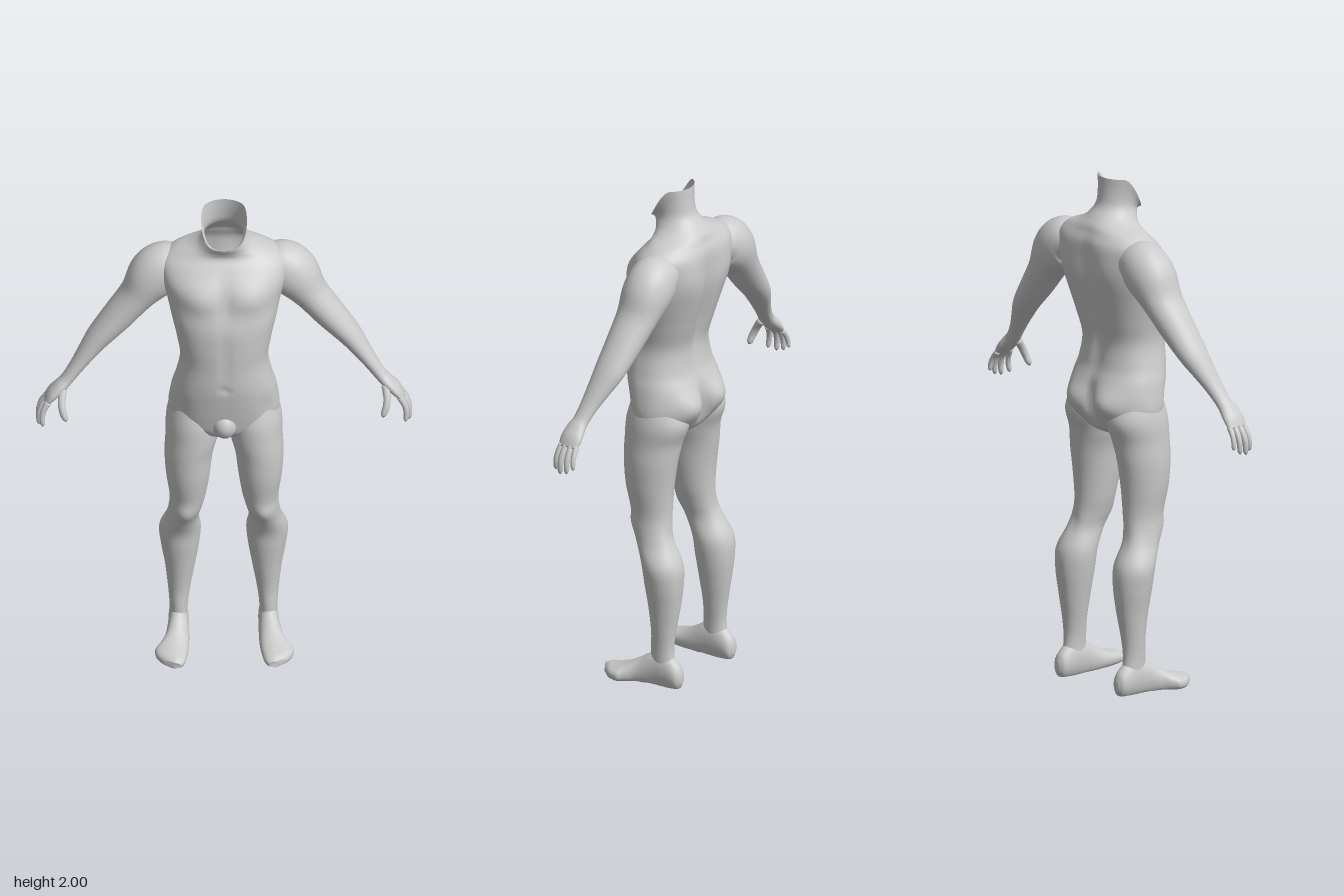
import * as THREE from 'three';

const skin = new THREE.MeshStandardMaterial({ color: 0xcccccc, side: THREE.DoubleSide });
const V = (x, y, z) => new THREE.Vector3(x, y, z);
const X = V(1, 0, 0), Y = V(0, 1, 0), Z = V(0, 0, 1);

// Smooth skin through rings [x, y, z, halfWidth, halfDepth, squareness].
// dir fixes the ring normal (otherwise it follows the path); up is the depth axis.
function loft(rings, { dir, up = Z, seg = 40, steps = 6, capStart = true, capEnd = true, warp } = {}) {
  const path = new THREE.CatmullRomCurve3(rings.map(r => V(r[0], r[1], r[2])), false, 'catmullrom', 0.5);
  const size = new THREE.CatmullRomCurve3(rings.map(r => V(r[3], r[4], r[5] ?? 2)), false, 'catmullrom', 0.5);
  const rows = (rings.length - 1) * steps, pos = [], idx = [];
  const push = p => { pos.push(p.x, p.y, p.z); return pos.length / 3 - 1; };
  for (let i = 0; i <= rows; i++) {
    const c = path.getPoint(i / rows), s = size.getPoint(i / rows);
    const t = dir ? dir.clone() : path.getTangent(i / rows);
    const v = up.clone().addScaledVector(t, -up.dot(t)).normalize();
    const u = v.clone().cross(t);
    for (let j = 0; j < seg; j++) {
      const a = (j / seg) * Math.PI * 2, co = Math.cos(a), si = Math.sin(a), e = 2 / s.z;
      const p = c.clone()
        .addScaledVector(u, Math.sign(co) * Math.abs(co) ** e * s.x)
        .addScaledVector(v, Math.sign(si) * Math.abs(si) ** e * s.y);
      if (warp) warp(p, si);
      push(p);
    }
  }
  for (let i = 0; i < rows; i++) for (let j = 0; j < seg; j++) {
    const a = i * seg + j, b = i * seg + (j + 1) % seg, c = a + seg, d = b + seg;
    idx.push(a, b, c, b, d, c);
  }
  const cap = (row, flip) => {
    const m = V(0, 0, 0);
    for (let j = 0; j < seg; j++) m.add(V(...pos.slice((row * seg + j) * 3, (row * seg + j) * 3 + 3)));
    const k = push(m.divideScalar(seg));
    for (let j = 0; j < seg; j++) {
      const a = row * seg + j, b = row * seg + (j + 1) % seg;
      idx.push(k, flip ? b : a, flip ? a : b);
    }
  };
  if (capStart) cap(0, true);
  if (capEnd) cap(rows, false);
  const g = new THREE.BufferGeometry();
  g.setAttribute('position', new THREE.Float32BufferAttribute(pos, 3));
  g.setIndex(idx);
  g.computeVertexNormals();
  return g;
}

// Muscle relief: [x, y, side, spreadX, spreadY, amount], mirrored in x
const relief = bumps => (p, si) => {
  for (const [x, y, side, sx, sy, amount] of bumps) {
    const w = Math.max(0, si * side);
    p.z += side * amount * Math.sqrt(w) *
      Math.exp(-(((Math.abs(p.x) - x) / sx) ** 2) - ((p.y - y) / sy) ** 2);
  }
};

function mirrored(g) {
  const m = g.clone().scale(-1, 1, 1), ix = m.index.array;
  for (let i = 0; i < ix.length; i += 3) [ix[i], ix[i + 1]] = [ix[i + 1], ix[i]];
  m.computeVertexNormals();
  return m;
}

export function createModel() {
  const model = new THREE.Group();
  model.name = 'headlessFigure';
  const add = (name, g, parent = model) => {
    const m = new THREE.Mesh(g, skin);
    m.name = name;
    parent.add(m);
  };
  const addPair = (name, g) => {
    add('left' + name, g);
    add('right' + name, mirrored(g));
  };

  // Torso with neck; [y, halfWidth, front z, back z, squareness]
  const torsoRings = [
    [0.99, 0.05, 0.05, -0.06, 2], [1.005, 0.12, 0.08, -0.09, 2], [1.04, 0.185, 0.112, -0.12, 2.1],
    [1.1, 0.211, 0.128, -0.135, 2.2], [1.2, 0.2, 0.147, -0.132, 2.3], [1.27, 0.182, 0.157, -0.115, 2.3],
    [1.36, 0.167, 0.16, -0.108, 2.3], [1.45, 0.18, 0.162, -0.13, 2.4], [1.54, 0.2, 0.158, -0.155, 2.4],
    [1.62, 0.218, 0.133, -0.17, 2.4], [1.7, 0.238, 0.11, -0.172, 2.4], [1.76, 0.235, 0.075, -0.17, 2.3],
    [1.8, 0.19, 0.047, -0.155, 2.1], [1.825, 0.132, 0.05, -0.145, 2], [1.85, 0.095, 0.062, -0.125, 2],
    [1.89, 0.075, 0.072, -0.092, 2], [1.94, 0.076, 0.08, -0.08, 2], [2.0, 0.087, 0.085, -0.074, 2],
  ].map(([y, w, f, b, n]) => [0, y, (f + b) / 2, w, (f - b) / 2, n]);
  const torsoRelief = relief([
    [0.1, 1.665, 1, 0.085, 0.065, 0.024],   // chest
    [0, 1.67, 1, 0.02, 0.08, -0.008],       // breastbone
    [0, 1.42, 1, 0.015, 0.14, -0.006],      // belly midline
    [0, 1.27, 1, 0.014, 0.014, -0.008],     // navel
    [0.17, 1.15, 1, 0.03, 0.06, -0.012],    // groin crease
    [0.095, 1.13, -1, 0.08, 0.065, 0.045],  // buttocks
    [0, 1.11, -1, 0.02, 0.07, -0.03],       // cleft
    [0, 1.5, -1, 0.03, 0.2, -0.024],        // spine
    [0.12, 1.67, -1, 0.07, 0.09, 0.013],    // shoulder blades
  ]);
  add('torso', loft(torsoRings, {
    dir: Y, seg: 72, capEnd: false,
    warp: (p, si) => {
      torsoRelief(p, si);
      // slanted neck opening, lower at the throat
      if (p.y > 1.86) p.y -= (p.y - 1.86) / 0.14 * 0.13 * THREE.MathUtils.smoothstep(p.z, -0.04, 0.08);
    },
  }));
  add('groin', new THREE.SphereGeometry(1, 28, 20).scale(0.05, 0.06, 0.06).translate(0, 1.08, 0.092));

  // Legs, hip to ankle
  addPair('Leg', loft([
    [0.112, 1.17, -0.005, 0.08, 0.095], [0.115, 1.07, -0.01, 0.103, 0.128], [0.122, 0.98, 0.005, 0.1, 0.117],
    [0.134, 0.9, 0.01, 0.092, 0.109], [0.137, 0.8, 0.012, 0.083, 0.098], [0.138, 0.7, 0.004, 0.069, 0.085],
    [0.146, 0.64, -0.004, 0.063, 0.083], [0.157, 0.58, -0.027, 0.062, 0.079], [0.165, 0.5, -0.064, 0.079, 0.08],
    [0.165, 0.42, -0.073, 0.073, 0.077], [0.165, 0.32, -0.075, 0.057, 0.064], [0.168, 0.22, -0.073, 0.043, 0.05],
    [0.17, 0.14, -0.07, 0.035, 0.048], [0.17, 0.05, -0.077, 0.034, 0.055],
  ], {
    dir: V(0, -1, 0),
    warp: relief([
      [0.148, 0.635, 1, 0.035, 0.04, 0.009],  // kneecap
      [0.15, 0.6, -1, 0.025, 0.05, -0.008],   // knee hollow
      [0.165, 0.38, -1, 0.012, 0.1, -0.004],  // calf split
    ]),
  }));

  // Feet, heel to toe, flat underneath with slanted toes
  addPair('Foot', loft([
    [0.17, 0.04, -0.16, 0.012, 0.02], [0.17, 0.045, -0.142, 0.032, 0.05], [0.17, 0.06, -0.09, 0.038, 0.075],
    [0.172, 0.055, -0.035, 0.04, 0.073], [0.178, 0.037, 0.02, 0.046, 0.057], [0.19, 0.026, 0.07, 0.055, 0.041, 2.2],
    [0.203, 0.02, 0.12, 0.06, 0.031, 2.4], [0.205, 0.018, 0.16, 0.053, 0.024, 2.4], [0.2, 0.018, 0.182, 0.032, 0.013],
  ], {
    dir: Z, up: Y,
    warp: p => {
      p.y = Math.max(0, p.y);
      if (p.z > 0.03) p.z -= Math.max(0, p.x - 0.19) * 0.6 * Math.min(1, (p.z - 0.03) / 0.1);
    },
  }));

  // Arms, shoulder to knuckles
  addPair('Arm', loft([
    [0.16, 1.715, -0.07, 0.07, 0.075], [0.22, 1.7, -0.07, 0.098, 0.092], [0.272, 1.655, -0.068, 0.097, 0.095],
    [0.33, 1.575, -0.062, 0.068, 0.083], [0.398, 1.49, -0.052, 0.059, 0.073], [0.47, 1.405, -0.04, 0.047, 0.063],
    [0.515, 1.345, -0.025, 0.037, 0.05], [0.558, 1.285, -0.009, 0.028, 0.038], [0.596, 1.233, 0.003, 0.024, 0.033],
    [0.622, 1.205, 0.009, 0.024, 0.04], [0.65, 1.175, 0.01, 0.022, 0.046], [0.674, 1.143, 0.01, 0.013, 0.042],
  ], { seg: 36 }));

  // Fingers and thumb: base, middle, tip, radius
  const digits = {
    IndexFinger: [[0.667, 1.15, 0.041], [0.689, 1.105, 0.05], [0.688, 1.05, 0.056], 0.0115],
    MiddleFinger: [[0.67, 1.15, 0.018], [0.698, 1.105, 0.023], [0.702, 1.042, 0.026], 0.012],
    RingFinger: [[0.67, 1.15, -0.004], [0.698, 1.107, -0.005], [0.704, 1.05, -0.005], 0.0115],
    LittleFinger: [[0.666, 1.15, -0.024], [0.693, 1.112, -0.029], [0.7, 1.07, -0.033], 0.01],
    Thumb: [[0.612, 1.2, 0.03], [0.617, 1.145, 0.066], [0.6, 1.09, 0.083], 0.0145],
  };
  for (const [name, [a, b, c, r]] of Object.entries(digits)) {
    const curve = new THREE.CatmullRomCurve3([V(...a), V(...b), V(...c)]);
    const rings = [[0, 1.15], [0.35, 1], [0.65, 0.95], [0.9, 0.8], [1, 0.25]]
      .map(([t, k]) => [...curve.getPoint(t).toArray(), r * k, r * k]);
    addPair(name, loft(rings, { up: X, seg: 14, steps: 4 }));
  }
  return model;
}
